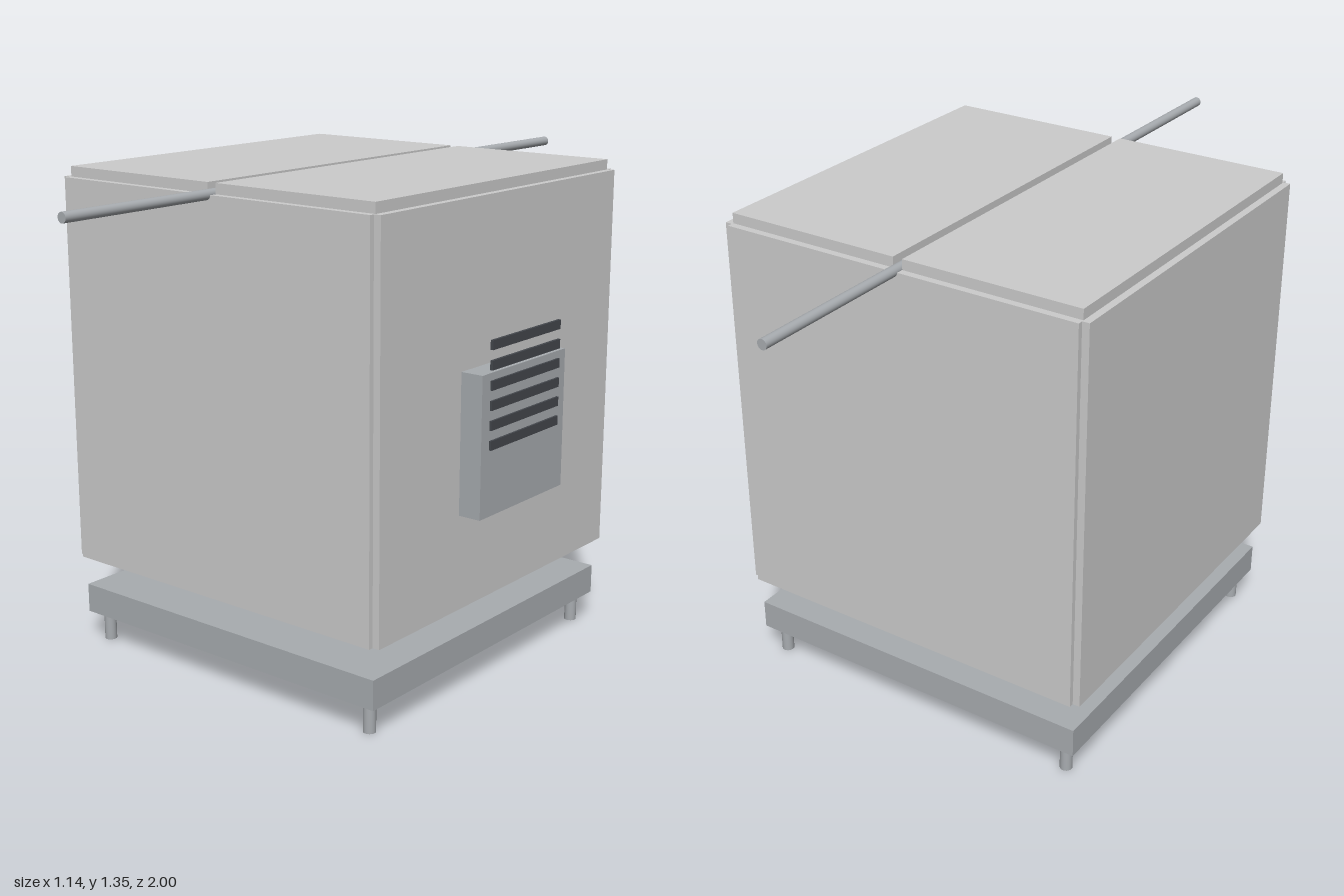
import * as THREE from 'three';

const mat = (color) => new THREE.MeshStandardMaterial({ color });

export function createModel() {
  const model = new THREE.Group();
  const panel = mat(0xcccccc);
  const metal = mat(0xa8acb0);
  const dark = mat(0x44474d);
  const teal = mat(0x2ec4a6);

  const add = (name, geometry, material, x, y, z) => {
    const mesh = new THREE.Mesh(geometry, material);
    mesh.name = name;
    mesh.position.set(x, y, z);
    model.add(mesh);
    return mesh;
  };

  // Box given by its lower and upper corners
  const box = (name, material, [x0, y0, z0], [x1, y1, z1]) =>
    add(name, new THREE.BoxGeometry(x1 - x0, y1 - y0, z1 - z0), material,
      (x0 + x1) / 2, (y0 + y1) / 2, (z0 + z1) / 2);

  // Base slab on four short legs
  box('base', metal, [-0.555, 0.083, -0.515], [0.478, 0.165, 0.515]);
  for (const x of [-0.512, 0.435]) {
    for (const z of [-0.475, 0.475]) {
      add('leg', new THREE.CylinderGeometry(0.017, 0.017, 0.083, 20), metal, x, 0.0415, z);
    }
  }

  // Enclosure walls, open at the bottom, with notched corners
  box('frontPanel', panel, [-0.553, 0.253, 0.512], [0.478, 1.322, 0.532]);
  box('backPanel', panel, [-0.553, 0.253, -0.532], [0.478, 1.322, -0.512]);
  box('leftPanel', panel, [0.478, 0.253, -0.518], [0.498, 1.322, 0.518]);
  box('rightPanel', panel, [-0.573, 0.253, -0.518], [-0.553, 1.322, 0.518]);

  // Two lid halves with a slot for the rod
  box('lidRight', panel, [-0.553, 1.322, -0.512], [-0.052, 1.35, 0.512]);
  box('lidLeft', panel, [-0.025, 1.322, -0.512], [0.478, 1.35, 0.512]);

  // Long rod lying in the slot
  add('rod', new THREE.CylinderGeometry(0.0135, 0.0135, 2, 24), metal, -0.038, 1.322, 0)
    .rotation.x = Math.PI / 2;

  // Side unit with a column of dark slats
  box('sideUnit', metal, [0.498, 0.512, -0.19], [0.562, 0.89, 0.19]);
  for (let i = 0; i < 6; i++) {
    const y = 0.702 + i * 0.052;
    box('ventSlat', dark, [0.56, y - 0.0125, -0.155], [0.568, y + 0.0125, 0.155]);
  }

  // Inner board and coloured post
  box('innerBoard', dark, [-0.3, 0.38, -0.2], [0.22, 0.9, -0.16]);
  add('innerPost', new THREE.CylinderGeometry(0.025, 0.025, 0.5, 20), teal, 0.23, 0.63, -0.22);

  return model;
}
